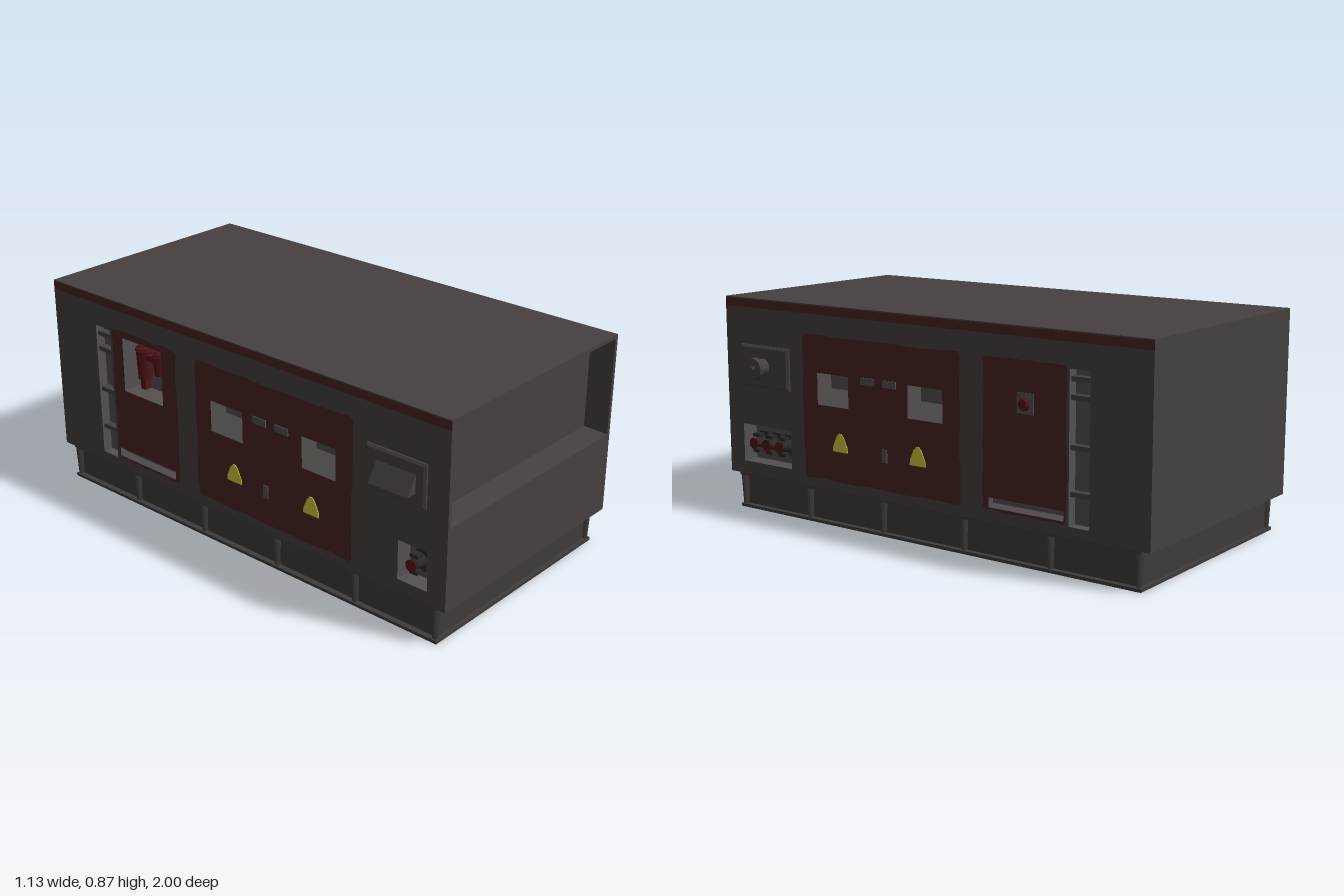
import * as THREE from 'three';

const material = (name, color, side = THREE.DoubleSide) => {
  const m = new THREE.MeshStandardMaterial({ color, side });
  m.name = name;
  return m;
};

export function createModel() {
  const shell = material('charcoal shell', 0x474040);
  const red = material('door red', 0x4c2424);
  const darkRed = material('fitting red', 0x501518);
  const yellow = material('warning yellow', 0xd2c83a);
  const grey = material('pocket grey', 0x545050);
  const steel = material('skid steel', 0x403b3a);
  const black = material('dark fittings', 0x2b2828);

  const W = 0.4975, L = 1, Y0 = 0.147, Y1 = 0.87;
  const model = new THREE.Group();
  model.name = 'generatorEnclosure';
  model.position.x = -0.0125;

  const add = (parent, name, geo, mat, x = 0, y = 0, z = 0) => {
    const m = new THREE.Mesh(geo, mat);
    m.name = name;
    m.position.set(x, y, z);
    parent.add(m);
    return m;
  };
  const box = (parent, name, mat, w, h, d, x, y, z) =>
    add(parent, name, new THREE.BoxGeometry(w, h, d), mat, x, y, z);
  const rect = (a, b, c, d) => [[a, c], [b, c], [b, d], [a, d]].map(p => new THREE.Vector2(...p));
  const sheet = (outline, holes = []) => {
    const s = new THREE.Shape(outline);
    s.holes = holes.map(h => new THREE.Path(h));
    return new THREE.ShapeGeometry(s);
  };
  let seed = 7;
  const rand = () => (seed = (seed * 16807) % 2147483647) / 2147483647;

  // Door outline with slightly uneven painted edges
  const door = (a, b, c, d) => {
    const pts = [], e = 0.012, n = 9;
    const edge = (x0, y0, x1, y1) => {
      const vertical = x0 === x1;
      for (let i = 0; i <= n; i++) {
        const j = (rand() - 0.5) * 0.009, t = i / n;
        pts.push(new THREE.Vector2(x0 + (x1 - x0) * t + (vertical ? j : 0), y0 + (y1 - y0) * t + (vertical ? 0 : j)));
      }
    };
    edge(a + e, c, b - e, c);
    edge(b, c + e, b, d - e);
    edge(b - e, d, a + e, d);
    edge(a, d - e, a, c + e);
    return pts;
  };

  // Five-sided pocket sunk behind a rectangular opening; floor may slope up
  const pocket = (parent, name, r, depth, mat, rise = 0, inset = 0) => {
    const [a, b] = [Math.min(r[0].x, r[1].x), Math.max(r[0].x, r[1].x)], c = r[0].y, d = r[2].y;
    const f = [[a, c, 0], [b, c, 0], [b, d, 0], [a, d, 0]];
    const k = [[a + inset, c + rise, -depth], [b - inset, c + rise, -depth], [b - inset, d - inset, -depth], [a + inset, d - inset, -depth]];
    const pos = [];
    const quad = (p, q, s, t) => pos.push(...p, ...q, ...s, ...p, ...s, ...t);
    quad(...k);
    for (let i = 0; i < 4; i++) quad(f[i], f[(i + 1) % 4], k[(i + 1) % 4], k[i]);
    const g = new THREE.BufferGeometry();
    g.setAttribute('position', new THREE.Float32BufferAttribute(pos, 3));
    g.computeVertexNormals();
    return add(parent, name, g, mat);
  };
  const roundPart = (parent, name, mat, r0, r1, len, x, y, z, sides = 16) =>
    add(parent, name, new THREE.CylinderGeometry(r1, r0, len, sides).rotateX(Math.PI / 2), mat, x, y, z + len / 2);

  // Roof, rear and the lip under the shell
  add(model, 'roof', new THREE.PlaneGeometry(2 * W, 2 * L).rotateX(-Math.PI / 2), shell, 0, Y1, 0);
  add(model, 'rearWall', sheet(rect(-W, W, Y0, Y1)).rotateY(Math.PI), shell, 0, 0, -L);
  add(model, 'underLip', sheet(rect(-W, W, -L, L), [rect(-0.45, 0.45, -0.93, 0.93)]).rotateX(Math.PI / 2), shell, 0, Y0, 0);

  // Front with the large intake recess
  const front = new THREE.Group();
  front.name = 'front';
  front.position.z = L;
  model.add(front);
  const intake = rect(-0.482, 0.482, 0.47, 0.855);
  add(front, 'frontWall', sheet(rect(-W, W, Y0, Y1), [intake]), shell);
  pocket(front, 'intakeRecess', intake, 0.1, shell, 0.006, 0.004);

  // Both long sides; local x runs along the wall, local z points outward
  for (const s of [1, -1]) {
    const side = new THREE.Group();
    side.name = s > 0 ? 'leftSide' : 'rightSide';
    side.rotation.y = s * Math.PI / 2;
    side.position.x = s * W;
    model.add(side);
    const u = z => -s * z;
    const R = (za, zb, c, d) => rect(Math.min(u(za), u(zb)), Math.max(u(za), u(zb)), c, d);
    const D = (za, zb, c, d) => door(Math.min(u(za), u(zb)), Math.max(u(za), u(zb)), c, d);

    const mainDoor = D(0.58, -0.195, 0.185, 0.75);
    const rearDoor = D(-0.3, -0.66, 0.19, 0.75);
    const outlets = s > 0 ? R(0.92, 0.655, 0.2, 0.355) : R(0.92, 0.79, 0.2, 0.355);
    const hinge = R(-0.67, -0.755, 0.185, 0.74);
    const windows = [R(0.505, 0.345, 0.48, 0.605), R(0.05, -0.115, 0.48, 0.605)];
    const slot = R(-0.325, -0.65, 0.2, 0.237);
    const bay = R(-0.38, -0.6, 0.5, 0.725);

    add(side, 'sideWall', sheet(R(L, -L, Y0, 0.832), [mainDoor, rearDoor, outlets, hinge]), shell);
    add(side, 'roofStripe', sheet(R(L, -L, 0.832, 0.865)), red);
    add(side, 'roofEdge', sheet(R(L, -L, 0.865, Y1)), shell);
    add(side, 'mainDoor', sheet(mainDoor, windows), red);
    add(side, 'rearDoor', sheet(rearDoor, s > 0 ? [slot] : [slot, bay]), red);
    windows.forEach(w => pocket(side, 'doorWindow', w, 0.07, grey, 0.055, 0.008));
    pocket(side, 'doorSlot', slot, 0.025, grey, 0.012);
    pocket(side, 'hingeChannel', hinge, 0.04, grey);
    for (const y of [0.3, 0.465, 0.64, 0.705])
      box(side, 'hinge', shell, 0.08, 0.018, 0.03, u(-0.712), y, -0.022);

    // Door latches and warning signs
    for (const [z, y, w, h] of [[0.248, 0.597, 0.065, 0.028], [0.138, 0.597, 0.065, 0.028], [0.165, 0.32, 0.025, 0.05]])
      box(side, 'latch', grey, w, h, 0.008, u(z), y, 0);
    const sign = [[-0.038, 0], [0.038, 0], [0.036, 0.02], [0.018, 0.06], [0.006, 0.073], [-0.006, 0.073], [-0.018, 0.06], [-0.036, 0.02]]
      .map(p => new THREE.Vector2(...p));
    for (const z of [0.39, 0.003])
      add(side, 'warningSign', new THREE.ExtrudeGeometry(new THREE.Shape(sign), { depth: 0.006, bevelEnabled: false }), yellow, u(z), 0.305, -0.003);

    // Raised service plate
    const plate = add(side, 'servicePlate', new THREE.ExtrudeGeometry(new THREE.Shape(R(0.9, 0.66, 0.525, 0.675)),
      { depth: 0.006, bevelThickness: 0.007, bevelSize: 0.01, bevelSegments: 1 }), shell);
    plate.position.z = 0.001;

    // Power sockets in their pocket
    pocket(side, 'socketPocket', outlets, 0.07, grey);
    for (const z of s > 0 ? [0.857, 0.787, 0.715] : [0.855]) {
      box(side, 'socketBase', black, 0.045, 0.085, 0.02, u(z), 0.28, -0.06);
      roundPart(side, 'socketBody', black, 0.027, 0.018, 0.05, u(z), 0.28, -0.055);
      roundPart(side, 'socketCap', darkRed, 0.017, 0.024, 0.014, u(z), 0.28, -0.005);
      for (const dy of [-0.032, 0.032])
        box(side, 'socketClamp', black, 0.034, 0.014, 0.03, u(z), 0.28 + dy, -0.02);
    }

    if (s > 0) {
      // Exhaust knob and emergency button
      roundPart(side, 'knobStem', shell, 0.036, 0.034, 0.045, u(0.787), 0.6, 0.013, 20);
      roundPart(side, 'knobCap', shell, 0.046, 0.042, 0.016, u(0.787), 0.6, 0.053, 20);
      roundPart(side, 'knobTip', shell, 0.014, 0.005, 0.008, u(0.787), 0.6, 0.069, 12);
      box(side, 'buttonPlate', grey, 0.072, 0.075, 0.008, u(-0.487), 0.598, 0);
      roundPart(side, 'buttonStem', black, 0.014, 0.014, 0.012, u(-0.487), 0.597, 0.003);
      roundPart(side, 'emergencyButton', darkRed, 0.024, 0.018, 0.012, u(-0.487), 0.597, 0.01);
    } else {
      // Sloped vent hood
      const wedge = new THREE.Shape([[0, 0], [0.045, 0], [0, 0.075]].map(p => new THREE.Vector2(...p)));
      add(side, 'ventHood', new THREE.ExtrudeGeometry(wedge, { depth: 0.17, bevelEnabled: false })
        .rotateY(-Math.PI / 2), shell, u(0.87), 0.565, 0.012);

      // Filter bay
      pocket(side, 'filterBay', bay, 0.09, grey);
      for (const [z, y, r, h] of [[-0.525, 0.63, 0.034, 0.13], [-0.44, 0.645, 0.026, 0.09]]) {
        add(side, 'filterBody', new THREE.CylinderGeometry(r, r * 0.85, h, 14), darkRed, u(z), y, -0.045);
        add(side, 'filterCap', new THREE.CylinderGeometry(r * 0.6, r * 1.1, 0.02, 14), darkRed, u(z), y + h / 2, -0.045);
      }
      box(side, 'filterBridge', darkRed, 0.12, 0.025, 0.04, u(-0.48), 0.66, -0.05);
      box(side, 'filterDrain', darkRed, 0.025, 0.05, 0.03, u(-0.525), 0.545, -0.045);
    }
  }

  // Open skid: flanges, webs and gussets
  const skid = new THREE.Group();
  skid.name = 'skid';
  model.add(skid);
  for (const y of [0, Y0 - 0.014]) {
    const ring = new THREE.Shape(rect(-0.4875, 0.4875, -0.96, 0.96));
    ring.holes.push(new THREE.Path(rect(-0.45, 0.45, -0.93, 0.93)));
    add(skid, 'flange', new THREE.ExtrudeGeometry(ring, { depth: 0.012, bevelEnabled: false }).rotateX(-Math.PI / 2), steel, 0, y, 0);
  }
  for (const s of [1, -1]) {
    box(skid, 'sideWeb', steel, 0.012, Y0, 1.88, s * 0.459, Y0 / 2, 0);
    box(skid, 'endWeb', steel, 0.92, Y0, 0.012, 0, Y0 / 2, s * 0.938);
    for (const z of [0.945, 0.58, 0.195, -0.195, -0.58, -0.945]) {
      const g = new THREE.CylinderGeometry(0.016, 0.01, Y0 - 0.01, 4, 1).rotateY(Math.PI / 4);
      g.scale(1.2, 1, 1);
      add(skid, 'gusset', g, steel, s * 0.472, Y0 / 2, z);
    }
  }
  const root = new THREE.Group();
  root.name = 'generator';
  root.add(model);
  return root;
}
